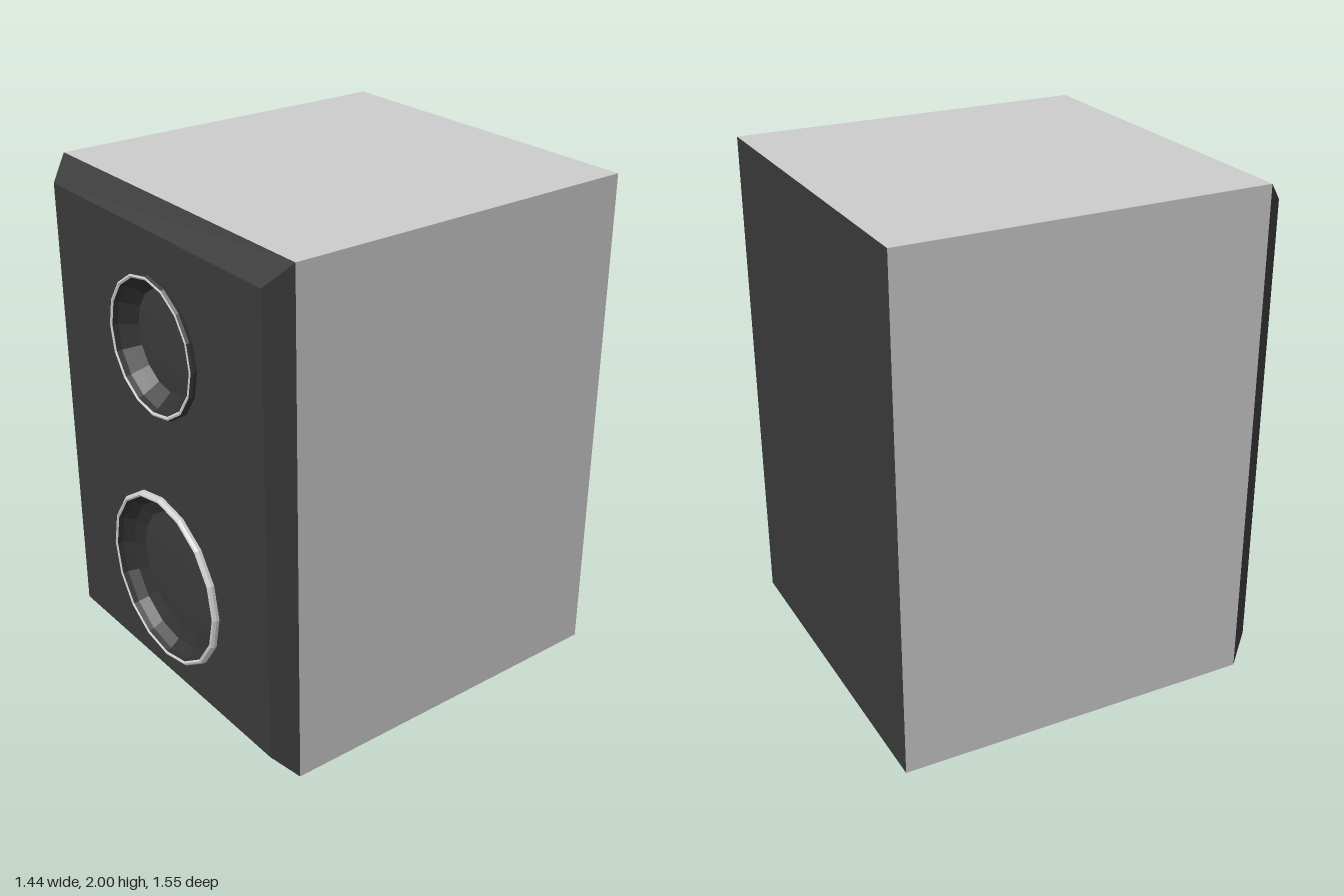
import * as THREE from 'three';

const W = 0.72, BACK = -0.775, SEAM = 0.665, FRONT = 0.75;
const SIDES = 16;

const paint = (color) => new THREE.MeshStandardMaterial({ color, flatShading: true });
const grey = paint(0xcccccc);
const black = paint(0x383838);
const rubber = paint(0x303030);

function add(group, name, geometry, material) {
  const mesh = new THREE.Mesh(geometry, material);
  mesh.name = name;
  group.add(mesh);
  return mesh;
}

// Lathe around the z axis from [radius, z] pairs
function turned(profile) {
  const pts = profile.map(([r, z]) => new THREE.Vector2(r, z));
  return new THREE.LatheGeometry(pts, SIDES).rotateX(Math.PI / 2);
}

// Four sloping faces between the cabinet edge and the front panel
function chamfer(outer, inner) {
  const pos = [];
  for (let i = 0; i < 4; i++) {
    const j = (i + 1) % 4;
    pos.push(...outer[i], ...outer[j], ...inner[j], ...outer[i], ...inner[j], ...inner[i]);
  }
  const g = new THREE.BufferGeometry();
  g.setAttribute('position', new THREE.Float32BufferAttribute(pos, 3));
  g.computeVertexNormals();
  return g;
}

// Corners counter-clockwise as seen from the front
const rect = (x, y0, y1, z) => [[-x, y0, z], [x, y0, z], [x, y1, z], [-x, y1, z]];

// One loudspeaker: trim ring, sloping surround and shallow cone
function speaker(name, y, R, coneR, capR, sideMaterial) {
  const g = new THREE.Group();
  g.name = name;
  g.position.y = y;
  add(g, 'trimSide', turned([[R, 0.74], [R, 0.762], [R - 0.006, 0.772]]), sideMaterial);
  add(g, 'trimRing', turned([[R - 0.006, 0.772], [R - 0.013, 0.775], [R - 0.02, 0.77]]), grey);
  add(g, 'surround', turned([
    [R - 0.02, 0.77], [R - 0.026, 0.75], [R - 0.055, 0.715], [coneR, 0.693],
  ]), rubber);
  add(g, 'cone', turned([
    [coneR, 0.693], [(coneR + capR) / 2, 0.7], [capR, 0.704], [0, 0.706],
  ]), black);
  return g;
}

export function createModel() {
  const model = new THREE.Group();
  model.name = 'loudspeaker';

  // Cabinet with a dark back face
  const body = new THREE.BoxGeometry(2 * W, 2, SEAM - BACK);
  body.translate(0, 1, (SEAM + BACK) / 2);
  add(model, 'cabinet', body, [grey, grey, grey, grey, black, black]);

  // Bevelled border of the front
  add(model, 'frontBevel',
    chamfer(rect(W, 0, 2, SEAM), rect(0.655, 0.09, 1.915, FRONT)), black);

  // Front panel with openings for the speakers
  const drivers = [
    ['upperSpeaker', 1.488, 0.272, 0.197, 0.08, rubber],
    ['lowerSpeaker', 0.523, 0.352, 0.248, 0.1, grey],
  ];
  const panel = new THREE.Shape(
    rect(0.655, 0.09, 1.915, 0).map(([x, y]) => new THREE.Vector2(x, y)));
  for (const [, y, R] of drivers) {
    const hole = [];
    for (let i = 0; i < SIDES; i++) {
      const a = -i / SIDES * 2 * Math.PI;
      hole.push(new THREE.Vector2((R - 0.012) * Math.cos(a), y + (R - 0.012) * Math.sin(a)));
    }
    panel.holes.push(new THREE.Path(hole));
  }
  add(model, 'frontPanel', new THREE.ShapeGeometry(panel).translate(0, 0, FRONT), black);

  for (const d of drivers) model.add(speaker(...d));
  return model;
}
